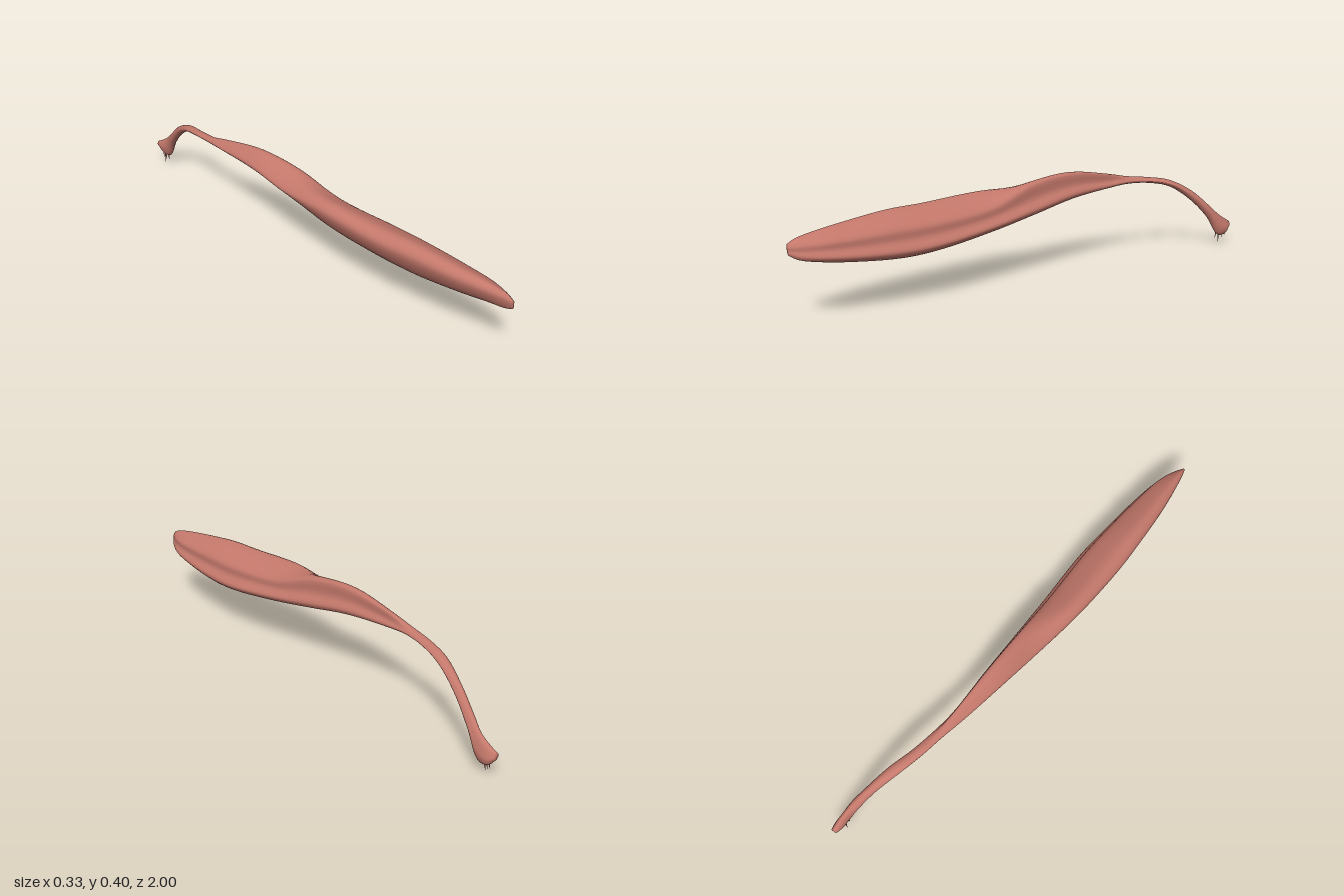
import * as THREE from 'three';

// Unit cross-sections inside their bounding box: left edge, over the top, right edge, underside
const BELLY = [[0, .82], [.2, 1], [.6, .85], [.84, .66], [.87, .42], [1, .2], [.88, .04], [.65, 0], [.35, .13], [.1, .45]];
const NECK = [[0, .55], [.25, .83], [.55, 1], [.78, .96], [.82, .5], [1, .2], [.9, .02], [.7, .03], [.42, .18], [.13, .36]];
const TENDON = [[0, .62], [.15, .88], [.4, 1], [.68, .9], [.9, .62], [1, .35], [.85, .1], [.6, 0], [.3, .12], [.08, .35]];

// z, xMin, xMax, yMin, yMax, section
const STATIONS = [
  [1, -.125, -.108, .258, .298, BELLY],
  [.97, -.132, -.085, .24, .312, BELLY],
  [.9, -.143, -.05, .225, .325, BELLY],
  [.78, -.156, -.022, .207, .338, BELLY],
  [.6, -.163, .004, .19, .354, BELLY],
  [.45, -.163, .018, .195, .355, BELLY],
  [.2, -.146, .015, .223, .365, BELLY],
  [0, -.115, .012, .26, .384, NECK],
  [-.2, -.085, .01, .295, .4, NECK],
  [-.4, -.045, .01, .311, .368, NECK],
  [-.5, -.02, .022, .315, .346, TENDON],
  [-.6, .002, .045, .308, .332, TENDON],
  [-.7, .033, .08, .283, .312, TENDON],
  [-.8, .075, .115, .212, .258, TENDON],
  [-.88, .105, .146, .125, .188, TENDON],
  [-.93, .122, .16, .045, .142, TENDON],
  [-.97, .126, .164, .042, .115, TENDON],
  [-1, .132, .156, .072, .098, TENDON],
];

// Smooth loft: splines along the length, then a closed spline round each ring
function loft(rows, around) {
  const rails = BELLY.map((_, k) => new THREE.CatmullRomCurve3(rows.map(([z, x0, x1, y0, y1, s]) =>
    new THREE.Vector3(x0 + (x1 - x0) * s[k][0], y0 + (y1 - y0) * s[k][1], z))));
  const steps = (rows.length - 1) * 5;
  const pos = [], index = [];
  for (let i = 0; i <= steps; i++) {
    const ring = new THREE.CatmullRomCurve3(rails.map(r => r.getPoint(i / steps)), true);
    for (let j = 0; j < around; j++) pos.push(...ring.getPoint(j / around).toArray());
  }
  for (let i = 0; i < steps; i++) {
    for (let j = 0; j < around; j++) {
      const n = (j + 1) % around;
      const a = i * around + j, b = i * around + n;
      index.push(a, b, a + around, b, b + around, a + around);
    }
  }
  // End caps
  for (const [row, front] of [[0, true], [steps, false]]) {
    const start = row * around, centre = pos.length / 3;
    const c = [0, 0, 0];
    for (let j = 0; j < around; j++) for (let k = 0; k < 3; k++) c[k] += pos[(start + j) * 3 + k] / around;
    pos.push(...c);
    for (let j = 0; j < around; j++) {
      const a = start + j, b = start + (j + 1) % around;
      index.push(centre, front ? b : a, front ? a : b);
    }
  }
  const g = new THREE.BufferGeometry();
  g.setAttribute('position', new THREE.Float32BufferAttribute(pos, 3));
  g.setIndex(index);
  g.computeVertexNormals();
  return g;
}

export function createModel() {
  const group = new THREE.Group();
  group.name = 'muscle';
  const flesh = new THREE.MeshStandardMaterial({ color: 0xc4786b });
  flesh.name = 'muscle red';

  const body = new THREE.Mesh(loft(STATIONS, 40), flesh);
  body.name = 'bellyAndTendon';
  group.add(body);

  // Frayed fibres at the tendon end: top and tip of each strand
  const fibres = [
    [[.138, .07, -.945], [.13, 0, -.955]],
    [[.136, .07, -.935], [.133, .025, -.928]],
    [[.142, .07, -.96], [.139, .02, -.966]],
    [[.146, .07, -.97], [.144, .028, -.98]],
  ];
  for (const [top, tip] of fibres) {
    const a = new THREE.Vector3(...top), b = new THREE.Vector3(...tip);
    const dir = b.clone().sub(a);
    const fibre = new THREE.Mesh(new THREE.ConeGeometry(.006, dir.length(), 6), flesh);
    fibre.name = 'tendonFibre';
    fibre.position.copy(a).add(b).multiplyScalar(.5);
    fibre.quaternion.setFromUnitVectors(new THREE.Vector3(0, 1, 0), dir.normalize());
    group.add(fibre);
  }
  return group;
}
